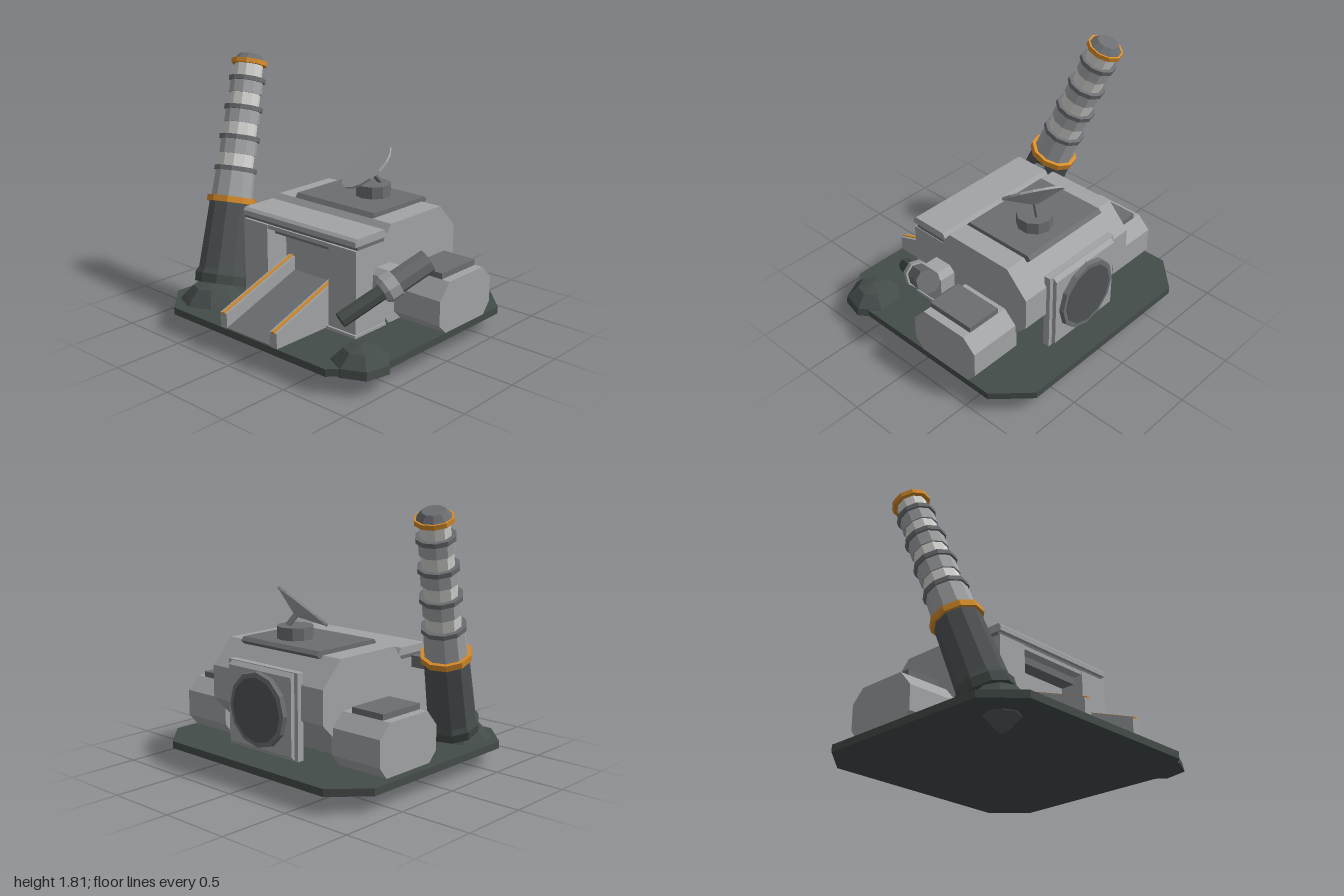
import * as THREE from 'three';

const mat = (name, color, extra = {}) => {
  const m = new THREE.MeshStandardMaterial({ color, flatShading: true, ...extra });
  m.name = name;
  return m;
};

export function createModel() {
  const light = mat('light grey', 0xa2a4a6);
  const mid = mat('mid grey', 0x6c6f72);
  const dark = mat('dark grey', 0x505456);
  const ground = mat('dark green grey', 0x444c4a);
  const orange = mat('orange', 0xd68c2a);
  const white = mat('off white', 0xd6d6d4);

  const model = new THREE.Group();
  const add = (name, geo, material, parent = model) => {
    const mesh = new THREE.Mesh(geo, material);
    mesh.name = name;
    parent.add(mesh);
    return mesh;
  };
  // box from its minimum and maximum corners
  const box = (name, x0, x1, y0, y1, z0, z1, material) =>
    add(name, new THREE.BoxGeometry(x1 - x0, y1 - y0, z1 - z0)
      .translate((x0 + x1) / 2, (y0 + y1) / 2, (z0 + z1) / 2), material);
  const toShape = (pts) => new THREE.Shape(pts.map(([a, b]) => new THREE.Vector2(a, b)));
  // (z, y) profile extruded from x0 to x1
  const side = (name, pts, x0, x1, material) =>
    add(name, new THREE.ExtrudeGeometry(toShape(pts), { depth: x1 - x0, bevelEnabled: false })
      .rotateY(-Math.PI / 2).translate(x1, 0, 0), material);
  // group whose local y runs along a direction
  const along = (name, origin, dir) => {
    const g = new THREE.Group();
    g.name = name;
    g.position.copy(origin);
    g.quaternion.setFromUnitVectors(new THREE.Vector3(0, 1, 0), dir.clone().normalize());
    model.add(g);
    return g;
  };
  const drum = (name, rBottom, rTop, y0, y1, sides, material, parent) =>
    add(name, new THREE.CylinderGeometry(rTop, rBottom, y1 - y0, sides)
      .translate(0, (y0 + y1) / 2, 0), material, parent);
  const lathe = (name, pts, sides, material) =>
    add(name, new THREE.LatheGeometry(pts.map(([r, y]) => new THREE.Vector2(r, y)), sides), material);

  // ground plate with cut corners
  const X0 = -0.91, X1 = 0.945, Z = 0.868, C = 0.22;
  add('groundPlate', new THREE.ExtrudeGeometry(toShape([
    [X0 + C, -Z], [X1 - C, -Z], [X1, C - Z], [X1, Z - C],
    [X1 - C, Z], [X0 + C, Z], [X0, Z - C], [X0, C - Z],
  ]), { depth: 0.05, bevelEnabled: false }).rotateX(-Math.PI / 2).translate(0, 0.12, 0), ground);

  // main hall
  side('mainHall', [[0.07, 0.17], [0.13, 0.24], [0.13, 0.77], [0.06, 0.86], [-0.46, 0.86],
    [-0.625, 0.69], [-0.625, 0.46], [-0.34, 0.17]], -0.46, 0.565, light);
  side('roofPlate', [[0.06, 0.86], [0.035, 0.89], [-0.49, 0.89], [-0.515, 0.865], [-0.49, 0.84], [0.06, 0.84]],
    -0.305, 0.405, mid);

  // entrance block with pillars, lintel and recessed wall
  side('entranceRoof', [[0.41, 0.785], [0.41, 0.82], [0.39, 0.838], [0.13, 0.838], [0.11, 0.81], [0.11, 0.785]],
    -0.46, 0.565, light);
  box('entranceGroove', -0.455, 0.56, 0.755, 0.785, 0.11, 0.385, mid);
  box('entranceLintel', -0.235, 0.33, 0.73, 0.757, 0.11, 0.4, light);
  box('lintelShade', -0.235, 0.33, 0.68, 0.73, 0.11, 0.33, mid);
  box('entranceWall', -0.235, 0.33, 0.17, 0.68, 0.11, 0.225, light);
  for (const [a, b] of [[-0.46, -0.235], [0.33, 0.565]]) {
    box('entrancePillar', a, b, 0.17, 0.758, 0.11, 0.405, light);
    box('pillarFoot', a - 0.01, b + 0.01, 0.17, 0.19, 0.11, 0.42, light);
  }

  // ramp with orange topped rails
  side('ramp', [[0.865, 0.17], [0.865, 0.178], [0.22, 0.41], [0.22, 0.17]], -0.155, 0.255, mid);
  for (const x of [-0.182, 0.282]) {
    side('rampRail', [[0.866, 0.13], [0.866, 0.275], [0.22, 0.508], [0.22, 0.13]], x - 0.03, x + 0.03, light);
    side('railStripe', [[0.869, 0.268], [0.869, 0.281], [0.22, 0.515], [0.22, 0.5]], x - 0.011, x + 0.011, orange);
  }

  // side pods
  for (const [a, b] of [[-0.85, -0.45], [0.555, 0.945]]) {
    side('sidePod', [[-0.05, 0.17], [0.02, 0.24], [0.02, 0.41], [-0.075, 0.52], [-0.44, 0.52],
      [-0.535, 0.43], [-0.535, 0.25], [-0.47, 0.17]], a, b, light);
    const c = a < 0 ? -0.66 : 0.755;
    box('podRoofPlate', c - 0.128, c + 0.128, 0.5, 0.56, -0.437, -0.075, mid);
  }

  // rear vent
  add('ventFrame', new THREE.ExtrudeGeometry(toShape([[-0.27, 0.19], [0.37, 0.19], [0.37, 0.77], [-0.27, 0.77]]),
    { depth: 0.05, bevelEnabled: false }).translate(0, 0, -0.655), light);
  const rim = new THREE.CylinderGeometry(0.25, 0.265, 0.06, 12).rotateX(-Math.PI / 2);
  add('ventRing', rim, mid).position.set(0.05, 0.485, -0.685);
  const ventDisc = new THREE.CylinderGeometry(0.22, 0.22, 0.006, 12).rotateX(-Math.PI / 2);
  add('ventDisc', ventDisc, dark).position.set(0.05, 0.485, -0.716);
  side('ventFrameEdge', [[-0.65, 0.19], [-0.65, 0.77], [-0.685, 0.74], [-0.685, 0.22]], -0.24, 0.34, light);

  // roof antenna
  drum('antennaBase', 0.125, 0.125, 0.88, 0.975, 10, mid).position.set(0.115, 0, -0.287);
  const dish = along('antennaDish', new THREE.Vector3(0.085, 1.1, -0.245), new THREE.Vector3(-0.32, 0.76, 0.56));
  drum('dishFace', 0.211, 0.211, -0.008, 0.008, 16, light, dish);
  drum('dishBack', 0.02, 0.205, -0.075, -0.006, 16, light, dish);
  drum('dishStem', 0.02, 0.02, -0.16, -0.05, 6, mid, dish);

  // leaning tower, measured by height and scaled along its axis
  const lean = new THREE.Vector3(-0.144, 1, -0.353);
  const k = lean.length();
  const tower = along('tower', new THREE.Vector3(-0.603, 0, 0.567), lean);
  const part = (name, r0, r1, y0, y1, material) => drum(name, r0, r1, y0 * k, y1 * k, 10, material, tower);
  part('towerCollar', 0.185, 0.19, 0.25, 0.31, ground);
  part('towerCollarTop', 0.19, 0.165, 0.31, 0.35, ground);
  part('towerLowerTube', 0.17, 0.155, 0.33, 0.79, dark);
  part('towerOrangeRing', 0.176, 0.176, 0.785, 0.825, orange);
  part('towerUpperTube', 0.148, 0.14, 0.82, 1.0, light);
  [1.01, 1.22, 1.42, 1.615].forEach((y, i) => {
    const r = 0.153 - i * 0.007;
    part('towerRing', r, r, y - 0.015, y + 0.015, mid);
    part('towerWhiteSection', r - 0.031, r - 0.031, y + 0.01, y + 0.125, white);
    if (i < 3) part('towerGreySection', r - 0.02, r - 0.022, y + 0.1, y + 0.2, light);
  });
  part('towerTopRing', 0.13, 0.13, 1.715, 1.745, orange);
  part('towerCap', 0.12, 0.078, 1.74, 1.785, mid);
  box('towerBracket', -0.64, -0.45, 0.69, 0.77, 0.24, 0.31, mid);

  // drill tip below the tower and the two rocky mounds
  lathe('drillTip', [[0, 0.005], [0.04, 0.03], [0.115, 0.115], [0.12, 0.2], [0, 0.2]], 8, dark)
    .position.set(-0.605, 0, 0.567);
  lathe('towerMound', [[0.23, 0.165], [0.2, 0.2], [0.13, 0.27], [0, 0.29]], 8, ground)
    .position.set(-0.63, 0, 0.567);
  lathe('cornerMound', [[0, 0.12], [0.2, 0.12], [0.19, 0.175], [0.11, 0.25], [0, 0.275]], 7, ground)
    .position.set(0.8, 0, 0.62);

  // angled nozzle and its mount
  const start = new THREE.Vector3(0.555, 0.335, 0.54);
  const nozzle = along('nozzle', start, new THREE.Vector3(0.27, 0.32, -0.54));
  drum('nozzleBarrel', 0.053, 0.053, 0, 0.36, 8, ground, nozzle);
  drum('nozzleCollar', 0.075, 0.095, 0.32, 0.35, 8, light, nozzle);
  drum('nozzleJoint', 0.095, 0.095, 0.35, 0.43, 8, light, nozzle);
  drum('nozzleBody', 0.082, 0.082, 0.42, 0.68, 8, mid, nozzle);
  side('nozzleMount', [[0.2, 0.41], [0.24, 0.45], [0.24, 0.56], [0.2, 0.6], [0.07, 0.6], [0.03, 0.56],
    [0.03, 0.45], [0.07, 0.41]], 0.55, 0.69, light);

  return model;
}
